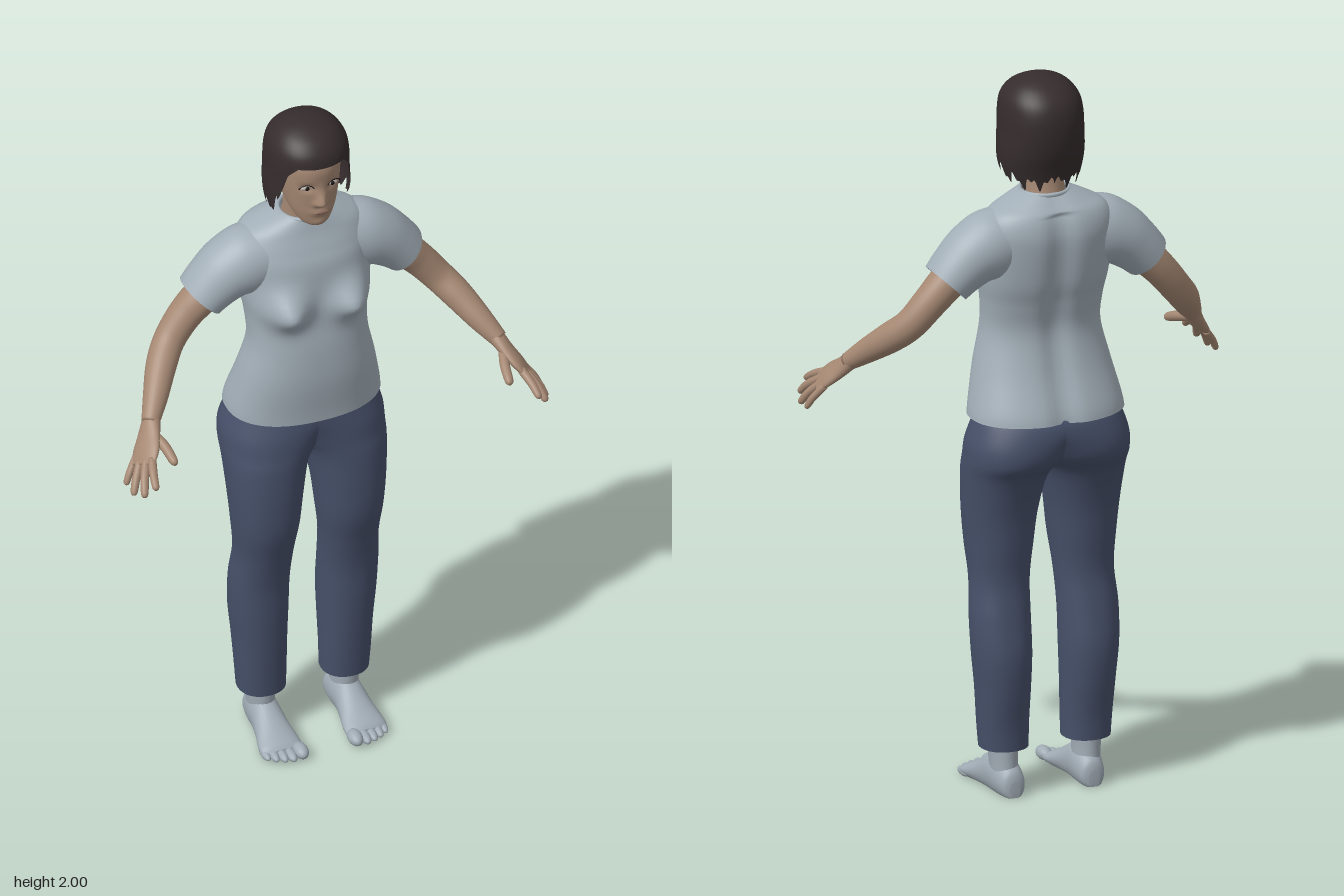
import * as THREE from 'three';

const mat = (name, color, double) => {
  const m = new THREE.MeshStandardMaterial({ color });
  m.name = name;
  if (double) m.side = THREE.DoubleSide;
  return m;
};
const V = (x, y, z) => new THREE.Vector3(x, y, z);
const bump = (d, r) => Math.exp(-(d / r) * (d / r));

// Smoothly resample rows of numbers into n rows
function resample(rows, n) {
  const last = rows.length - 1, at = i => rows[Math.max(0, Math.min(last, i))];
  return Array.from({ length: n }, (_, k) => {
    const s = k / (n - 1) * last, i = Math.min(last - 1, Math.floor(s)), t = s - i;
    return rows[0].map((_, c) => {
      const [a, b, d, e] = [at(i - 1)[c], at(i)[c], at(i + 1)[c], at(i + 2)[c]];
      return b + 0.5 * t * (d - a + t * (2 * a - 5 * b + 4 * d - e + t * (3 * (b - d) + e - a)));
    });
  });
}

// Skin closed rings of points, with optional caps at the start and end
function skin(rings, capStart, capEnd) {
  const n = rings[0].length, pos = [], idx = [];
  rings.forEach(r => r.forEach(p => pos.push(p.x, p.y, p.z)));
  for (let i = 0; i < rings.length - 1; i++) for (let j = 0; j < n; j++) {
    const a = i * n + j, b = i * n + (j + 1) % n;
    idx.push(a, b, b + n, a, b + n, a + n);
  }
  const cap = (ring, base, flip) => {
    const c = ring.reduce((s, p) => s.add(p), V(0, 0, 0)).divideScalar(n), k = pos.length / 3;
    pos.push(c.x, c.y, c.z);
    for (let j = 0; j < n; j++) {
      const a = base + j, b = base + (j + 1) % n;
      flip ? idx.push(k, b, a) : idx.push(k, a, b);
    }
  };
  if (capStart) cap(rings[0], 0, true);
  if (capEnd) cap(rings[rings.length - 1], (rings.length - 1) * n, false);
  const g = new THREE.BufferGeometry();
  g.setAttribute('position', new THREE.Float32BufferAttribute(pos, 3));
  g.setIndex(idx);
  g.computeVertexNormals();
  return g;
}

// Point on a horizontal superellipse section: [y, xMin, xMax, zFront, zBack]
function sectionPoint([y, x0, x1, zf, zb], a, e) {
  const p = v => Math.sign(v) * Math.pow(Math.abs(v), 2 / e);
  return V((x0 + x1) / 2 + (x1 - x0) / 2 * p(Math.sin(a)), y, (zf + zb) / 2 + (zf - zb) / 2 * p(Math.cos(a)));
}
function body(rows, { n = 40, seg = 48, e = 2.2, sculpt = p => p, caps = [false, false] }) {
  return skin(resample(rows, n).map(r => Array.from({ length: seg }, (_, j) =>
    sculpt(sectionPoint(r, j / seg * Math.PI * 2, e)))), ...caps);
}
const sym = rows => rows.map(([y, w, zf, zb]) => [y, -w, w, zf, zb]);

// Limb along rows [x, y, z, radius along ref, other radius]
function limb(rows, { ref = V(0, 0, 1), n = 20, seg = 20, caps = [true, true] } = {}) {
  const rs = resample(rows, n), c = rs.map(r => V(r[0], r[1], r[2]));
  return skin(rs.map((r, i) => {
    const t = c[Math.min(n - 1, i + 1)].clone().sub(c[Math.max(0, i - 1)]).normalize();
    const u = ref.clone().addScaledVector(t, -ref.dot(t)).normalize(), s = t.clone().cross(u);
    return Array.from({ length: seg }, (_, j) => {
      const a = j / seg * Math.PI * 2;
      return c[i].clone().addScaledVector(u, r[3] * Math.cos(a)).addScaledVector(s, r[4] * Math.sin(a));
    });
  }), ...caps);
}

function mirrored(g) {
  const m = g.clone().scale(-1, 1, 1), ix = m.index.array;
  for (let i = 0; i < ix.length; i += 3) [ix[i], ix[i + 1]] = [ix[i + 1], ix[i]];
  m.computeVertexNormals();
  return m;
}
const ball = (x, y, z, rx, ry, rz) => new THREE.SphereGeometry(1, 20, 14).scale(rx, ry, rz).translate(x, y, z);

export function createModel() {
  const model = new THREE.Group();
  model.name = 'standingWoman';
  const skinMat = mat('skin', 0xa58873), shirt = mat('shirtGrey', 0xa2aeb7, true), denim = mat('trouserBlue', 0x465069, true);
  const hairMat = mat('hairBrown', 0x352c2d, true), sock = mat('footGrey', 0xa0abb4), lip = mat('lips', 0x8c6a5c);
  const eyeMat = mat('eyeWhite', 0xb8aea4), dark = mat('eyeDark', 0x1c1616);
  const add = (name, g, m) => {
    const mesh = new THREE.Mesh(g, m);
    mesh.name = name;
    model.add(mesh);
  };
  const pair = (name, g, m) => {
    add('left' + name, g, m);
    add('right' + name, mirrored(g), m);
  };

  // Shirt with bust and spine hollow
  add('shirtBody', body(sym([
    [1.065, .215, .055, -.242], [1.1, .21, .057, -.232], [1.2, .188, .065, -.192], [1.3, .166, .06, -.168],
    [1.38, .168, .048, -.18], [1.45, .178, .042, -.2], [1.55, .186, .033, -.214], [1.6, .185, .015, -.212],
    [1.64, .165, -.003, -.198], [1.665, .122, -.012, -.175], [1.69, .066, -.02, -.15]]), {
    n: 60, seg: 80, e: 2.3, sculpt: p => {
      if (p.z > -.06) p.z += .062 * bump(Math.abs(p.x) - .095, .055) * bump(p.y - 1.44, .052);
      else p.z += .016 * bump(p.x, .035) * (p.y < 1.64 ? 1 : .4);
      return p;
    } }), shirt);
  add('collar', new THREE.TorusGeometry(.066, .006, 8, 40).rotateX(Math.PI / 2).translate(0, 1.686, -.085), shirt);
  pair('Sleeve', limb([[.1, 1.565, -.09, .09, .088], [.16, 1.55, -.092, .093, .097], [.21, 1.53, -.094, .089, .086],
    [.255, 1.495, -.095, .082, .075], [.29, 1.46, -.095, .077, .067]], { seg: 36, caps: [true, false] }), shirt);

  // Trousers: the two legs overlap at the hips
  pair('TrouserLeg', body([
    [1.1, -.18, .19, .02, -.2], [1.06, -.19, .206, .03, -.232], [1, -.09, .225, .036, -.24], [.95, -.04, .228, .04, -.232],
    [.9, -.003, .226, .046, -.198], [.8, .018, .219, .05, -.168], [.7, .03, .21, .045, -.155], [.6, .042, .202, .02, -.147],
    [.5, .046, .208, .002, -.163], [.4, .047, .205, -.002, -.178], [.3, .05, .196, -.008, -.172],
    [.2, .052, .19, -.015, -.157], [.13, .053, .185, -.02, -.153]].reverse(), { n: 60 }), denim);

  // Feet and toes
  pair('Ankle', limb([[.118, .03, -.095, .05, .037], [.12, .1, -.087, .053, .037], [.12, .22, -.085, .055, .045]]), sock);
  const footRows = [[-.157, .115, .014, .045], [-.145, .115, .033, .075], [-.1, .117, .042, .1], [-.05, .119, .043, .1],
    [0, .12, .049, .073], [.04, .121, .057, .05], [.07, .121, .058, .036], [.085, .116, .048, .024]];
  const foot = skin(resample(footRows, 30).map(([z, x, w, h]) => Array.from({ length: 28 }, (_, j) => {
    const a = j / 28 * Math.PI * 2;
    return V(x + w * Math.cos(a), Math.max(0, h * (.42 + .58 * Math.sin(a))), z);
  })), true, true);
  pair('Foot', foot, sock);
  [[.078, .098, .02], [.106, .097, .014], [.128, .09, .013], [.149, .08, .0125], [.168, .066, .012]].forEach(([x, z, r], i) =>
    pair('Toe' + (i + 1), ball(x, r * .95, z, r, r * .95, .033), sock));

  // Arms and hands
  pair('Arm', limb([[.2, 1.53, -.092, .05, .05], [.28, 1.465, -.092, .052, .05], [.335, 1.41, -.092, .047, .046],
    [.385, 1.35, -.077, .043, .043], [.425, 1.305, -.035, .042, .041], [.465, 1.255, .025, .034, .034],
    [.5, 1.212, .075, .025, .024]], { n: 40, seg: 28 }), skinMat);
  const spread = V(.38, -.3, -.87).normalize();
  pair('Palm', limb([[.49, 1.224, .06, .024, .023], [.513, 1.188, .098, .037, .019], [.533, 1.162, .128, .045, .016],
    [.552, 1.138, .153, .04, .009]], { ref: spread, seg: 24 }), skinMat);
  const finger = (name, b, m, t, r) => pair(name, limb([[...b, r, r], [...m, r, r],
    [...m.map((v, i) => v + (t[i] - v) * .8), r * .85, r * .85], [...t, r * .35, r * .35]], { ref: V(1, 0, 0), n: 14, seg: 12 }), skinMat);
  finger('IndexFinger', [.53, 1.16, .163], [.542, 1.142, .203], [.55, 1.118, .244], .0115);
  finger('MiddleFinger', [.539, 1.152, .145], [.562, 1.122, .19], [.576, 1.088, .226], .012);
  finger('RingFinger', [.547, 1.146, .127], [.575, 1.108, .162], [.592, 1.072, .186], .0115);
  finger('LittleFinger', [.553, 1.14, .108], [.579, 1.105, .126], [.595, 1.074, .137], .01);
  finger('Thumb', [.507, 1.195, .09], [.488, 1.18, .145], [.479, 1.158, .207], .014);

  // Neck and sculpted head
  add('neck', limb([[0, 1.62, -.095, .065, .062], [0, 1.69, -.082, .058, .055], [0, 1.79, -.07, .058, .055]], { seg: 32 }), skinMat);
  add('head', body(sym([[1.699, .02, .028, -.02], [1.712, .043, .038, -.06], [1.75, .064, .045, -.11], [1.8, .077, .05, -.15],
    [1.85, .083, .054, -.165], [1.9, .082, .055, -.165], [1.95, .068, .03, -.14], [1.975, .03, -.02, -.1]]), {
    n: 80, seg: 96, caps: [true, true], sculpt: p => {
      if (p.z < 0) return p;
      p.z += .024 * bump(p.x, .014) * bump(p.y - 1.79, p.y > 1.79 ? .03 : .011)
        + .006 * bump(Math.abs(p.x) - .015, .008) * bump(p.y - 1.787, .01)
        + .008 * bump(p.x, .026) * bump(p.y - 1.755, .014) + .005 * bump(p.x, .02) * bump(p.y - 1.717, .014)
        - .009 * bump(Math.abs(p.x) - .036, .018) * bump(p.y - 1.838, .013);
      return p;
    } }), skinMat);
  add('mouth', ball(0, 1.756, .051, .022, .006, .005), lip);
  pair('Eye', ball(.036, 1.837, .036, .016, .008, .007), eyeMat);
  pair('Iris', ball(.036, 1.837, .0405, .0065, .0065, .004), dark);
  pair('Eyelashes', new THREE.TorusGeometry(.018, .002, 6, 20, Math.PI).scale(1.1, .55, 1).rotateY(.25).translate(.039, 1.838, .042), dark);

  // Hair: a cap with a hairline over the face and ragged ends at the sides and back
  const shape = resample(sym([[1.68, .09, .02, -.15], [1.72, .104, .03, -.155], [1.76, .114, .05, -.165], [1.8, .116, .06, -.178],
    [1.85, .113, .066, -.186], [1.9, .111, .068, -.185], [1.94, .104, .06, -.172], [1.97, .084, .035, -.145],
    [1.988, .058, .003, -.115], [1.998, .026, -.03, -.085], [2, .004, -.055, -.063]]), 90);
  const sectionAt = y => {
    const k = Math.max(1, shape.findIndex(r => r[0] >= y)), a = shape[k - 1], b = shape[k];
    const t = (y - a[0]) / (b[0] - a[0] || 1);
    return a.map((v, i) => v + (b[i] - v) * t);
  };
  const hairline = [[0, 1.912], [.6, 1.912], [.85, 1.885], [1.05, 1.8], [1.3, 1.75], [1.8, 1.735], [2.3, 1.722], [3.2, 1.72]];
  const edge = angle => {
    const a = Math.abs(angle), k = hairline.findIndex(h => h[0] >= a && h[0] > 0), [p, q] = [hairline[k - 1], hairline[k]];
    const ragged = a > 1.1 ? .014 * Math.sin(a * 13) + .009 * Math.sin(a * 29) : 0;
    return p[1] + (q[1] - p[1]) * (a - p[0]) / (q[0] - p[0]) + ragged;
  };
  const seg = 160, rings = [];
  for (let i = 0; i <= 40; i++) {
    const t = Math.sin(i / 40 * Math.PI / 2);
    rings.push(Array.from({ length: seg }, (_, j) => {
      const a = (j / seg * 2 - 1) * Math.PI, y0 = edge(a);
      return sectionPoint(sectionAt(y0 + (1.9999 - y0) * t), a, 2.15);
    }));
  }
  add('hair', skin(rings, false, true), hairMat);
  return model;
}
